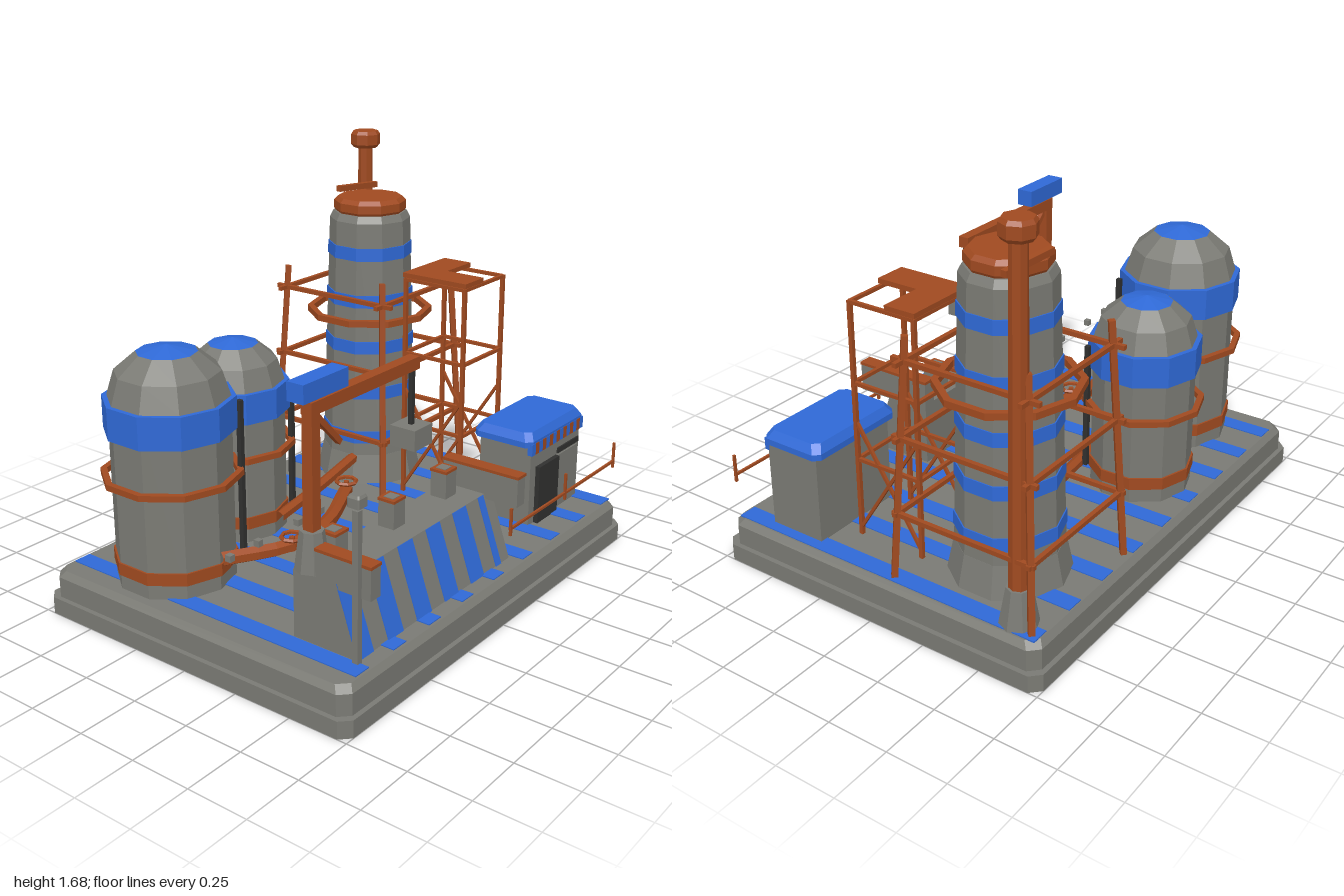
import * as THREE from 'three';

const mat = (name, color) => {
  const m = new THREE.MeshStandardMaterial({ color, flatShading: true });
  m.name = name;
  return m;
};

export function createModel() {
  const root = new THREE.Group();
  root.name = 'industrialPlant';
  const grey = mat('concreteGrey', 0x7a7a74);
  const blue = mat('paintBlue', 0x2f69d6);
  const rust = mat('rustOrange', 0xa04a20);
  const dark = mat('darkMetal', 0x30302f);

  const add = (name, geo, m, x = 0, y = 0, z = 0, parent = root) => {
    const mesh = new THREE.Mesh(geo, m);
    mesh.name = name;
    mesh.position.set(x, y, z);
    parent.add(mesh);
    return mesh;
  };
  // Box given by its limits on each axis
  const box = (name, m, x0, x1, y0, y1, z0, z1, parent = root) =>
    add(name, new THREE.BoxGeometry(x1 - x0, y1 - y0, z1 - z0), m,
      (x0 + x1) / 2, (y0 + y1) / 2, (z0 + z1) / 2, parent);
  // Square bar between two points
  const bar = (name, m, a, b, t, parent = root) => {
    const p = new THREE.Vector3(...a), q = new THREE.Vector3(...b);
    const mesh = add(name, new THREE.BoxGeometry(t, t, p.distanceTo(q)), m, 0, 0, 0, parent);
    mesh.position.copy(p).lerp(q, 0.5);
    mesh.lookAt(q);
    return mesh;
  };
  // Faceted solid of revolution
  const lathe = (name, m, pts, x, z, sides = 10, parent = root) =>
    add(name, new THREE.LatheGeometry(pts.map(p => new THREE.Vector2(...p)), sides), m, x, 0, z, parent);
  const ring = (name, m, r0, r1, y0, y1, x, z, parent) =>
    lathe(name, m, [[r0, y0], [r1, y0], [r1, y1], [r0, y1], [r0, y0]], x, z, 10, parent);
  // Block with cut corners, lofted through sections [y, halfX, halfZ]
  const block = (name, m, sections, cut, x = 0, z = 0) => {
    const pos = [], idx = [], n = sections.length;
    for (const [y, a, b] of sections) {
      const c = cut;
      for (const [px, pz] of [[a, b - c], [a, c - b], [a - c, -b], [c - a, -b],
        [-a, c - b], [-a, b - c], [c - a, b], [a - c, b]]) pos.push(px, y, pz);
    }
    for (let s = 0; s < n - 1; s++) for (let i = 0; i < 8; i++) {
      const a = s * 8 + i, b = s * 8 + (i + 1) % 8;
      idx.push(a, b, b + 8, a, b + 8, a + 8);
    }
    const t = (n - 1) * 8;
    for (let i = 1; i < 7; i++) idx.push(0, i + 1, i, t, t + i, t + i + 1);
    const g = new THREE.BufferGeometry();
    g.setAttribute('position', new THREE.Float32BufferAttribute(pos, 3));
    g.setIndex(idx);
    const flat = g.toNonIndexed();
    flat.computeVertexNormals();
    return add(name, flat, m, x, 0, z);
  };

  // Stepped foundation with painted deck stripes
  block('foundation', grey, [[0, 1, 0.75], [0.07, 1, 0.75]], 0.04);
  block('deck', grey, [[0.07, 0.98, 0.73], [0.155, 0.98, 0.73], [0.18, 0.96, 0.71]], 0.04);
  for (let i = 0; i < 9; i++) {
    const x = -0.845 + 0.22 * i;
    box('deckStripe', blue, x - 0.038, x + 0.038, 0.178, 0.184, -0.705, 0.7);
  }

  // Domed storage tanks
  const tank = (name, x, z, r, bandY, bandTop, ringY, domeH) => {
    const g = new THREE.Group();
    g.name = name;
    root.add(g);
    const dome = a => [r * Math.sin(a * Math.PI / 180), bandTop + domeH * Math.cos(a * Math.PI / 180)];
    lathe('tankBody', grey, [[0, 0.18], [r, 0.18], [r, bandTop], dome(60), dome(30)], x, z, 10, g);
    lathe('domeCap', blue, [dome(30), [0, bandTop + domeH]], x, z, 10, g);
    ring('upperBand', blue, r - 0.02, r + 0.02, bandY, bandTop, x, z, g);
    ring('baseBand', rust, r - 0.02, r + 0.008, 0.24, 0.29, x, z, g);
    ring('hoopRail', rust, r + 0.015, r + 0.04, ringY - 0.012, ringY + 0.012, x, z, g);
    const lx = x + r * 0.76, lz = z + r * 0.82;
    box('ladder', dark, lx - 0.01, lx + 0.01, 0.26, bandTop - 0.03, lz - 0.01, lz + 0.01, g);
  };
  tank('largeTank', -0.7, -0.32, 0.235, 0.79, 0.92, 0.61, 0.2);
  tank('smallTank', -0.21, -0.44, 0.207, 0.7, 0.825, 0.55, 0.175);
  for (const dx of [-0.25, -0.1, 0.12, 0.25])
    box('bracket', grey, -0.712 + dx, -0.688 + dx, 0.49, 0.515, 0.188, 0.212);

  // Ground pipes and valve wheels
  const pipe = (pts, r) => add('pipe', new THREE.TubeGeometry(
    new THREE.CatmullRomCurve3(pts.map(p => new THREE.Vector3(...p))), 12, r, 6), rust);
  pipe([[-0.7, 0.31, -0.08], [-0.45, 0.31, 0.05], [-0.22, 0.31, 0.04], [0.1, 0.31, -0.1]], 0.03);
  pipe([[-0.2, 0.26, -0.22], [0.1, 0.275, -0.26], [0.45, 0.295, -0.32]], 0.025);
  for (const [x, z] of [[-0.45, 0.06], [0.1, -0.1]]) {
    add('valveWheel', new THREE.TorusGeometry(0.043, 0.009, 5, 8).rotateX(Math.PI / 2), rust, x, 0.35, z);
    add('valveStem', new THREE.CylinderGeometry(0.012, 0.012, 0.06, 6), rust, x, 0.32, z);
  }

  // Process tower
  const TX = 0.62, TZ = -0.37;
  const towerR = y => 0.207 - (y - 0.31) * 0.03;
  lathe('towerSkirt', grey, [[0, 0.18], [0.235, 0.18], [0.208, 0.31], [0, 0.31]], TX, TZ);
  lathe('towerBody', grey, [[towerR(0.31), 0.31], [towerR(1.36), 1.36], [0.16, 1.39], [0, 1.39]], TX, TZ);
  for (let i = 0; i < 5; i++) {
    const y = 0.395 + i * 0.208;
    lathe('towerStripe', blue, [[towerR(y), y - 0.028], [towerR(y) + 0.005, y - 0.028],
      [towerR(y) + 0.004, y + 0.028], [towerR(y) - 0.004, y + 0.028]], TX, TZ);
  }
  lathe('towerLid', rust, [[0, 1.385], [0.148, 1.385], [0.157, 1.4], [0.157, 1.435], [0.14, 1.452], [0, 1.452]], TX, TZ);
  bar('lidArm', rust, [0.6, 1.465, -0.53], [0.84, 1.452, -0.505], 0.025);
  ring('towerWalkway', rust, 0.25, 0.277, 0.93, 0.957, TX, TZ);

  // Leaning frame around the tower
  for (const sx of [-1, 1]) for (const sz of [-1, 1])
    bar('framePost', rust, [TX + sx * 0.305, 0.18, TZ + sz * 0.305], [TX + sx * 0.255, 1.15, TZ + sz * 0.255], 0.024);
  for (const y of [0.45, 0.755, 1.055]) for (const s of [-1, 1]) {
    const d = 0.305 - (y - 0.18) * 0.05;
    bar('frameBeam', rust, [TX - 0.31, y, TZ + s * d], [TX + 0.31, y, TZ + s * d], 0.018);
    bar('frameBeam', rust, [TX + s * d, y, TZ - 0.31], [TX + s * d, y, TZ + 0.31], 0.018);
  }

  // Chimney
  lathe('chimneyBase', grey, [[0, 0.18], [0.075, 0.18], [0.048, 0.33], [0, 0.33]], 0.885, -0.595, 8);
  lathe('chimneyPipe', rust, [[0.039, 0.33], [0.033, 1.61]], 0.885, -0.595, 8);
  lathe('chimneyCap', rust, [[0, 1.605], [0.054, 1.605], [0.066, 1.62], [0.066, 1.665], [0.056, 1.68], [0, 1.68]], 0.885, -0.595, 8);

  // Access scaffold with an L-shaped platform
  const X0 = 0.475, X1 = 0.77, Z0 = -0.07, Z1 = 0.225;
  for (const x of [X0, X1]) {
    for (const z of [Z0, Z1]) bar('scaffoldPost', rust, [x, 0.18, z], [x, 1.16, z], 0.016);
    for (const y of [0.51, 0.83, 1.155]) bar('scaffoldRail', rust, [x, y, Z0], [x, y, Z1], 0.014);
    bar('scaffoldBrace', rust, [x, 0.21, Z0], [x, 0.67, Z1], 0.012);
    bar('scaffoldBrace', rust, [x, 0.67, Z0], [x, 0.21, Z1], 0.012);
  }
  for (const z of [Z0, Z1]) for (const y of [0.51, 0.83, 1.155])
    bar('scaffoldRail', rust, [X0, y, z], [X1, y, z], 0.014);
  box('platform', rust, 0.465, 0.78, 1.165, 1.185, -0.08, 0.055);
  box('platformWing', rust, 0.465, 0.6, 1.165, 1.185, 0.055, 0.235);

  // Control cabin
  box('cabin', grey, 0.5, 0.91, 0.18, 0.55, 0.31, 0.555);
  block('cabinRoof', blue, [[0.54, 0.23, 0.14], [0.565, 0.23, 0.14], [0.598, 0.208, 0.12]], 0.025, 0.695, 0.43);
  for (let i = 0; i < 15; i++) {
    const x = 0.48 + i * 0.0287;
    box('awningStripe', i % 2 ? rust : blue, x, x + 0.0287, 0.505, 0.555, 0.55, 0.572);
  }
  box('cabinDoor', dark, 0.545, 0.71, 0.18, 0.435, 0.55, 0.575);
  box('cabinWindow', dark, 0.72, 0.9, 0.44, 0.463, 0.553, 0.562);
  box('cabinPanel', grey, 0.725, 0.895, 0.2, 0.43, 0.553, 0.56);

  // Front railing
  bar('railing', rust, [0.09, 0.365, 0.708], [0.955, 0.365, 0.708], 0.01);
  for (const x of [0.097, 0.525, 0.95]) box('railingPost', rust, x - 0.005, x + 0.005, 0.335, 0.45, 0.703, 0.713);

  // Loading hall with a sloped, striped front
  const profile = new THREE.Shape([[-0.36, 0.18], [-0.36, 0.45], [-0.55, 0.45], [-0.645, 0.18]].map(p => new THREE.Vector2(...p)));
  add('hall', new THREE.ExtrudeGeometry(profile, { depth: 1, bevelEnabled: false }).rotateY(Math.PI / 2), grey, -0.8);
  const slope = Math.atan2(0.095, 0.27);
  for (let i = 0; i < 6; i++) {
    const stripe = add('hallStripe', new THREE.BoxGeometry(0.09, 0.286, 0.008), blue, -0.755 + i * 0.18, 0.315, 0.5985);
    stripe.rotation.x = -slope;
    if (i === 5) { stripe.scale.x = 0.4; stripe.position.x = 0.118; }
  }
  for (const [x, z] of [[0.178, 0.355], [-0.772, 0.46]]) {
    box('sideWall', grey, x - 0.028, x + 0.028, 0.43, 0.548, z, 0.7);
    box('sideWallCap', rust, x - 0.03, x + 0.03, 0.548, 0.56, z - 0.003, 0.703);
  }
  for (const x of [-0.65, -0.3, 0.047]) {
    box('roofVent', grey, x - 0.036, x + 0.036, 0.45, 0.555, 0.388, 0.46);
    box('ventRim', rust, x - 0.038, x + 0.038, 0.555, 0.566, 0.386, 0.462);
    box('ventOutlet', grey, x - 0.022, x + 0.022, 0.56, 0.569, 0.402, 0.446);
  }

  // Jib crane
  lathe('craneBase', grey, [[0, 0.45], [0.065, 0.45], [0.045, 0.6], [0, 0.6]], -0.755, 0.41, 8);
  box('craneMast', rust, -0.778, -0.733, 0.59, 1.07, 0.388, 0.433);
  box('craneJib', rust, -0.78, -0.145, 1.03, 1.078, 0.387, 0.434);
  bar('craneBrace', rust, [-0.745, 1.03, 0.41], [-0.6, 0.88, 0.41], 0.022);
  box('counterweight', blue, -0.835, -0.59, 1.09, 1.16, 0.372, 0.445);
  box('counterweightMount', rust, -0.77, -0.74, 1.07, 1.1, 0.395, 0.425);
  box('cable', dark, -0.169, -0.151, 0.8, 1.035, 0.4, 0.418);
  box('hookBlock', grey, -0.218, -0.104, 0.728, 0.81, 0.353, 0.467);

  // Yard lamp
  box('lampPost', grey, -0.822, -0.798, 0.18, 0.76, 0.638, 0.662);
  block('lampHead', grey, [[0.775, 0.026, 0.026], [0.81, 0.026, 0.026], [0.82, 0.02, 0.02]], 0.005, -0.81, 0.65);

  return root;
}
